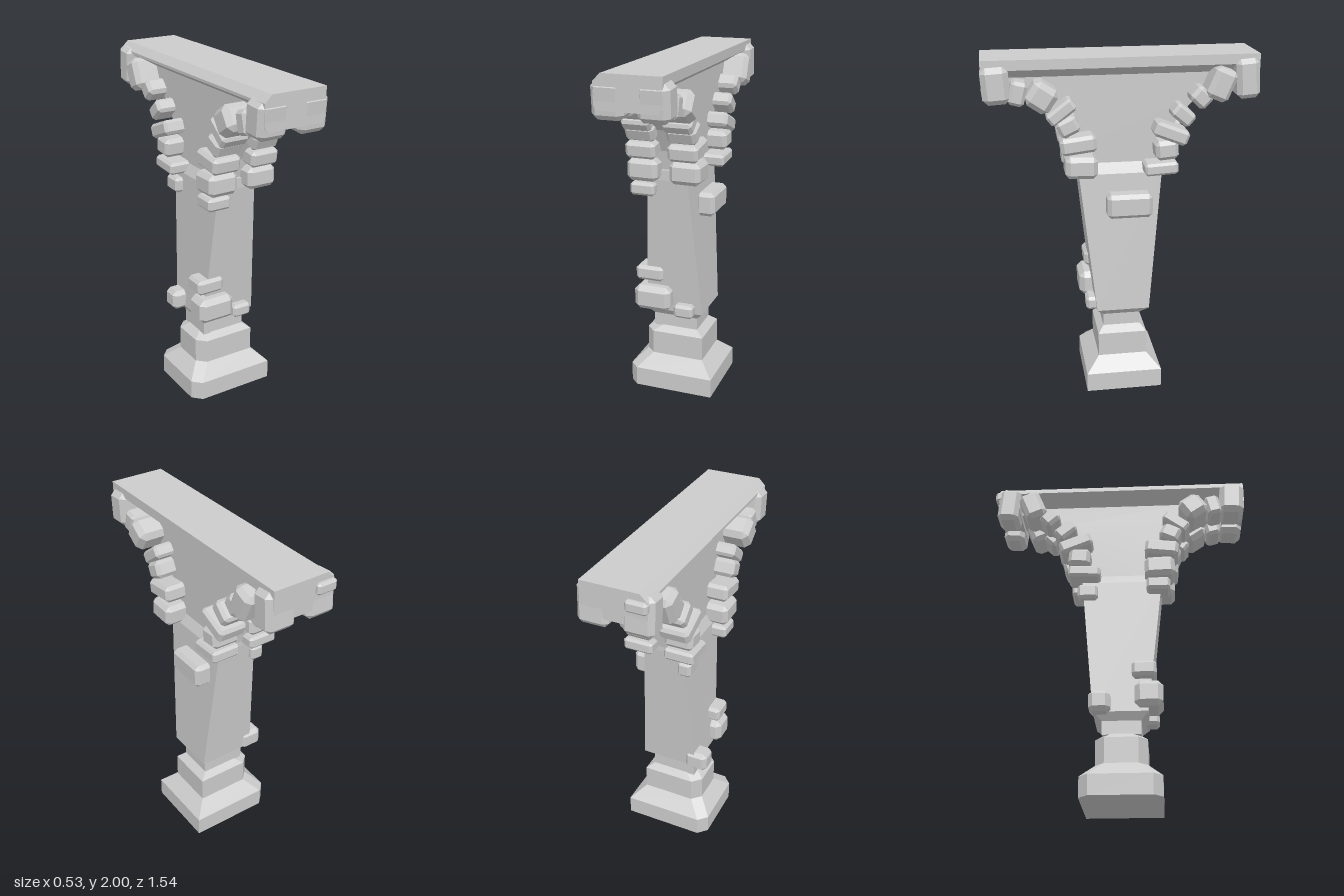
import * as THREE from 'three';
import { ConvexGeometry } from 'three/addons/geometries/ConvexGeometry.js';

const material = new THREE.MeshStandardMaterial({ color: 0xcccccc, flatShading: true });

function add(parent, name, geometry) {
  const mesh = new THREE.Mesh(geometry, material);
  mesh.name = name;
  parent.add(mesh);
  return mesh;
}

// Stacked rectangular sections [y, x0, x1, z0, z1]; c cuts the two corners on the -x side
function loft(sections, c = 0) {
  const pos = [], idx = [];
  const n = c ? 6 : 4;
  for (const [y, x0, x1, z0, z1] of sections) {
    const ring = c
      ? [[x1, z1], [x1, z0], [x0 + c, z0], [x0, z0 + c], [x0, z1 - c], [x0 + c, z1]]
      : [[x1, z1], [x1, z0], [x0, z0], [x0, z1]];
    ring.forEach(([x, z]) => pos.push(x, y, z));
  }
  const last = (sections.length - 1) * n;
  for (let k = 0; k < last; k += n) {
    for (let i = 0; i < n; i++) {
      const a = k + i, b = k + (i + 1) % n;
      idx.push(a, b, b + n, a, b + n, a + n);
    }
  }
  for (let i = 1; i < n - 1; i++) {
    idx.push(0, i + 1, i, last, last + i, last + i + 1);
  }
  const g = new THREE.BufferGeometry();
  g.setAttribute('position', new THREE.Float32BufferAttribute(pos, 3));
  g.setIndex(idx);
  const flat = g.toNonIndexed();
  flat.computeVertexNormals();
  return flat;
}

// Block with every edge cut back
function stoneGeometry(w, h, d) {
  const c = Math.min(w, h, d) * 0.2;
  const x = w / 2, y = h / 2, z = d / 2, pts = [];
  for (const i of [-1, 1]) for (const j of [-1, 1]) for (const k of [-1, 1]) {
    pts.push(
      new THREE.Vector3(i * x, j * (y - c), k * (z - c)),
      new THREE.Vector3(i * (x - c), j * y, k * (z - c)),
      new THREE.Vector3(i * (x - c), j * (y - c), k * z));
  }
  return new ConvexGeometry(pts);
}

function addStone(parent, name, [x, y, z], [w, h, d], tilt = 0) {
  const stone = add(parent, name, stoneGeometry(w, h, d));
  stone.position.set(x, y, z);
  stone.rotation.x = tilt;
}

const extrude = (points, depth) => new THREE.ExtrudeGeometry(
  new THREE.Shape(points.map(([x, y]) => new THREE.Vector2(x, y))),
  { depth, bevelEnabled: false });

export function createModel() {
  const model = new THREE.Group();
  model.name = 'stonePillar';

  // Stepped foot with cut corners on one side
  add(model, 'base', loft([
    [0, -0.265, 0.262, -0.215, 0.235],
    [0.115, -0.265, 0.262, -0.215, 0.235],
    [0.195, -0.185, 0.18, -0.135, 0.155],
    [0.34, -0.185, 0.18, -0.135, 0.155],
    [0.375, -0.135, 0.135, -0.1, 0.12],
  ], 0.052));

  // Neck and shaft, which narrows in x and widens in z towards the top
  add(model, 'shaft', loft([
    [0.37, -0.135, 0.135, -0.1, 0.12],
    [0.45, -0.135, 0.135, -0.1, 0.12],
    [0.495, -0.165, 0.178, -0.15, 0.16],
    [1.33, -0.12, 0.12, -0.225, 0.25],
    [1.39, -0.09, 0.09, -0.225, 0.25],
  ]));

  // Thin web curving out into both brackets
  const curve = [[0.225, 1.36], [0.25, 1.5], [0.31, 1.63], [0.42, 1.75], [0.55, 1.83], [0.66, 1.86]];
  const web = extrude([
    ...curve.map(([z, y]) => [-z, y]).reverse(),
    ...curve,
    [0.66, 1.94], [-0.66, 1.94],
  ], 0.18);
  web.translate(0, 0, -0.09).rotateY(-Math.PI / 2);
  add(model, 'bracketWeb', web);

  // Top slab with sloping underside
  add(model, 'topSlab', extrude([
    [0.18, 2], [-0.145, 2], [-0.185, 1.96], [-0.185, 1.945],
    [-0.09, 1.89], [0.09, 1.89], [0.18, 1.945],
  ], 1.515)).position.z = -0.75;

  // Deep blocks at both ends of the slab
  for (const z of [-0.75, 0.635]) {
    add(model, 'slabEnd', extrude([
      [0.18, 2], [-0.145, 2], [-0.185, 1.96], [-0.185, 1.84],
      [-0.165, 1.815], [0.16, 1.815], [0.18, 1.84],
    ], 0.13)).position.z = z;
  }

  // Arch stones: z, y, height, depth, tilt, outer x
  const archStones = [
    [0.69, 1.865, 0.2, 0.15, 0.06, 0.21],
    [0.575, 1.82, 0.13, 0.09, -0.25, 0.2],
    [0.45, 1.8, 0.15, 0.15, -0.6, 0.235],
    [0.345, 1.71, 0.075, 0.17, 0.65, 0.2],
    [0.31, 1.63, 0.1, 0.12, 0.45, 0.205],
    [0.255, 1.525, 0.095, 0.2, 0.12, 0.21],
    [0.24, 1.395, 0.125, 0.18, -0.03, 0.215],
    [-0.685, 1.865, 0.22, 0.13, 0.08, 0.21],
    [-0.535, 1.84, 0.18, 0.13, -0.4, 0.235],
    [-0.43, 1.765, 0.1, 0.11, -0.75, 0.2],
    [-0.33, 1.67, 0.085, 0.13, -0.7, 0.2],
    [-0.265, 1.57, 0.085, 0.2, -0.38, 0.21],
    [-0.24, 1.475, 0.11, 0.13, 0.08, 0.205],
    [-0.21, 1.37, 0.07, 0.19, 0.05, 0.21],
  ];
  for (const side of [-1, 1]) {
    const arch = new THREE.Group();
    arch.name = side > 0 ? 'leftArchStones' : 'rightArchStones';
    for (const [z, y, h, d, tilt, outer] of archStones) {
      addStone(arch, 'archStone', [side * (outer + 0.035) / 2, y, z], [outer - 0.035, h, d], tilt);
    }
    model.add(arch);
  }

  // Loose stones set into the shaft and one slab end: position, size
  const looseStones = [
    [[0.17, 1.16, -0.03], [0.11, 0.14, 0.26]],
    [[-0.135, 0.735, 0.14], [0.17, 0.09, 0.14]],
    [[-0.11, 0.588, 0.165], [0.225, 0.15, 0.16]],
    [[0.077, 0.522, 0.16], [0.118, 0.08, 0.12]],
    [[-0.17, 0.54, -0.11], [0.14, 0.12, 0.12]],
    [[-0.135, 1.28, 0.23], [0.145, 0.075, 0.14]],
    [[-0.13, 1.255, -0.19], [0.08, 0.09, 0.12]],
    [[-0.13, 1.93, -0.73], [0.12, 0.065, 0.09]],
  ];
  looseStones.forEach(([p, s]) => addStone(model, 'looseStone', p, s));

  return model;
}
